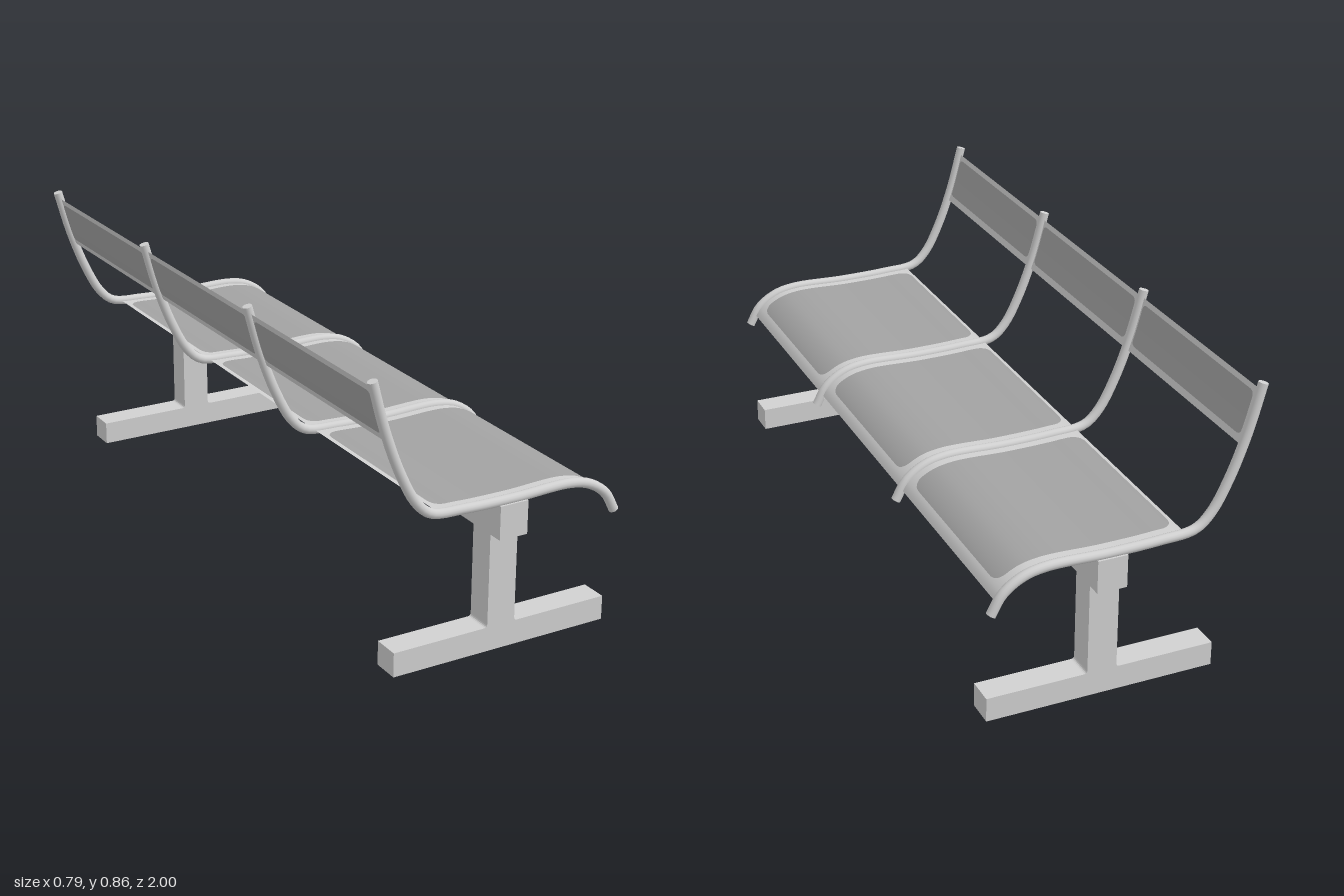
import * as THREE from 'three';

const frameMat = new THREE.MeshStandardMaterial({ color: 0xd0d0d0 });
frameMat.name = 'light grey metal';
const sheetMat = new THREE.MeshStandardMaterial({ color: 0xd0d0d0, side: THREE.DoubleSide });
sheetMat.name = 'light grey sheet';
const panelMat = new THREE.MeshStandardMaterial({ color: 0xa2a2a2, side: THREE.DoubleSide });
panelMat.name = 'mid grey perforated panel';

// Side profile shared by the tubes, the seat and the backrest
const profile = new THREE.CatmullRomCurve3([
  [-0.384, 0.856], [-0.345, 0.715], [-0.298, 0.59], [-0.25, 0.502], [-0.205, 0.463],
  [-0.1, 0.453], [0.05, 0.45], [0.23, 0.453], [0.295, 0.438], [0.35, 0.4], [0.382, 0.345],
].map(([x, y]) => new THREE.Vector3(x, y, 0)));

const TUBE_R = 0.014;
const TUBE_Z = [-0.983, -0.328, 0.328, 0.983];

// Samples of the profile that pass a test, each with its normal
function samples(test) {
  const out = [];
  for (let i = 0; i <= 300; i++) {
    const p = profile.getPointAt(i / 300);
    const t = profile.getTangentAt(i / 300);
    if (test(p)) out.push({ p, n: new THREE.Vector3(-t.y, t.x, 0) });
  }
  return out;
}

// Curved sheet between z0 and z1, with corners of radius r, lifted off the profile
function sheet(name, rows, z0, z1, r, lift, mat) {
  const pos = [], idx = [];
  const first = rows[0].p, last = rows[rows.length - 1].p;
  rows.forEach(({ p, n }, i) => {
    const d = Math.min(p.distanceTo(first), p.distanceTo(last), r);
    const inset = r - Math.sqrt(Math.max(0, r * r - (r - d) ** 2));
    const x = p.x + n.x * lift, y = p.y + n.y * lift;
    pos.push(x, y, z1 - inset, x, y, z0 + inset);
    if (i) {
      const a = 2 * i - 2;
      idx.push(a, a + 2, a + 3, a, a + 3, a + 1);
    }
  });
  const g = new THREE.BufferGeometry();
  g.setAttribute('position', new THREE.Float32BufferAttribute(pos, 3));
  g.setIndex(idx);
  g.computeVertexNormals();
  const m = new THREE.Mesh(g, mat);
  m.name = name;
  return m;
}

// Bent tube with closed ends
function tubeFrame(z) {
  const g = new THREE.Group();
  g.name = 'tubeFrame';
  g.add(new THREE.Mesh(new THREE.TubeGeometry(profile, 60, TUBE_R, 14), frameMat));
  for (const [t, sign] of [[0, -1], [1, 1]]) {
    const cap = new THREE.Mesh(new THREE.CircleGeometry(TUBE_R, 14), frameMat);
    cap.position.copy(profile.getPointAt(t));
    const dir = profile.getTangentAt(t).multiplyScalar(sign);
    cap.quaternion.setFromUnitVectors(new THREE.Vector3(0, 0, 1), dir);
    g.add(cap);
  }
  g.children.forEach((m) => { m.name = 'bentTube'; });
  g.position.z = z;
  return g;
}

// Foot and post in one piece, with small fillets where they meet
function stand(z) {
  const s = new THREE.Shape();
  s.moveTo(-0.293, 0);
  s.lineTo(0.382, 0);
  s.lineTo(0.382, 0.071);
  s.lineTo(0.097, 0.071);
  s.quadraticCurveTo(0.087, 0.071, 0.087, 0.081);
  s.lineTo(0.087, 0.35);
  s.lineTo(0, 0.35);
  s.lineTo(0, 0.081);
  s.quadraticCurveTo(0, 0.071, -0.01, 0.071);
  s.lineTo(-0.293, 0.071);
  const g = new THREE.ExtrudeGeometry(s, { depth: 0.08, bevelEnabled: false, curveSegments: 4 });
  g.translate(0, 0, -0.04);
  const m = new THREE.Mesh(g, frameMat);
  m.name = 'stand';
  m.position.z = z;
  return m;
}

export function createModel() {
  const model = new THREE.Group();
  model.name = 'bench';

  // Beam on two stands
  const beam = new THREE.Mesh(new THREE.BoxGeometry(0.087, 0.097, 2), frameMat);
  beam.name = 'beam';
  beam.position.set(0.0435, 0.3935, 0);
  model.add(beam, stand(-0.917), stand(0.917));

  for (const z of TUBE_Z) model.add(tubeFrame(z));

  // Seat and backrest sheets
  const seat = samples((p) => p.y < 0.5 && p.x > -0.18 && p.x < 0.366);
  const back = samples((p) => p.y > 0.68 && p.y < 0.836);
  const seatInner = samples((p) => p.y < 0.5 && p.x > -0.17 && p.x < 0.345);
  const backInner = samples((p) => p.y > 0.7 && p.y < 0.822);

  for (let i = 0; i < 3; i++) {
    const z0 = TUBE_Z[i], z1 = TUBE_Z[i + 1];
    model.add(sheet('seatSheet', seat, z0, z1, 0, 0, sheetMat));
    model.add(sheet('backrestSheet', back, z0, z1, 0, 0, sheetMat));
    // Perforated fields on both faces
    for (const lift of [0.003, -0.003]) {
      model.add(sheet('seatPanel', seatInner, z0 + 0.045, z1 - 0.045, 0.035, lift, panelMat));
      model.add(sheet('backrestPanel', backInner, z0 + 0.024, z1 - 0.024, 0.015, lift, panelMat));
    }
  }
  return model;
}
